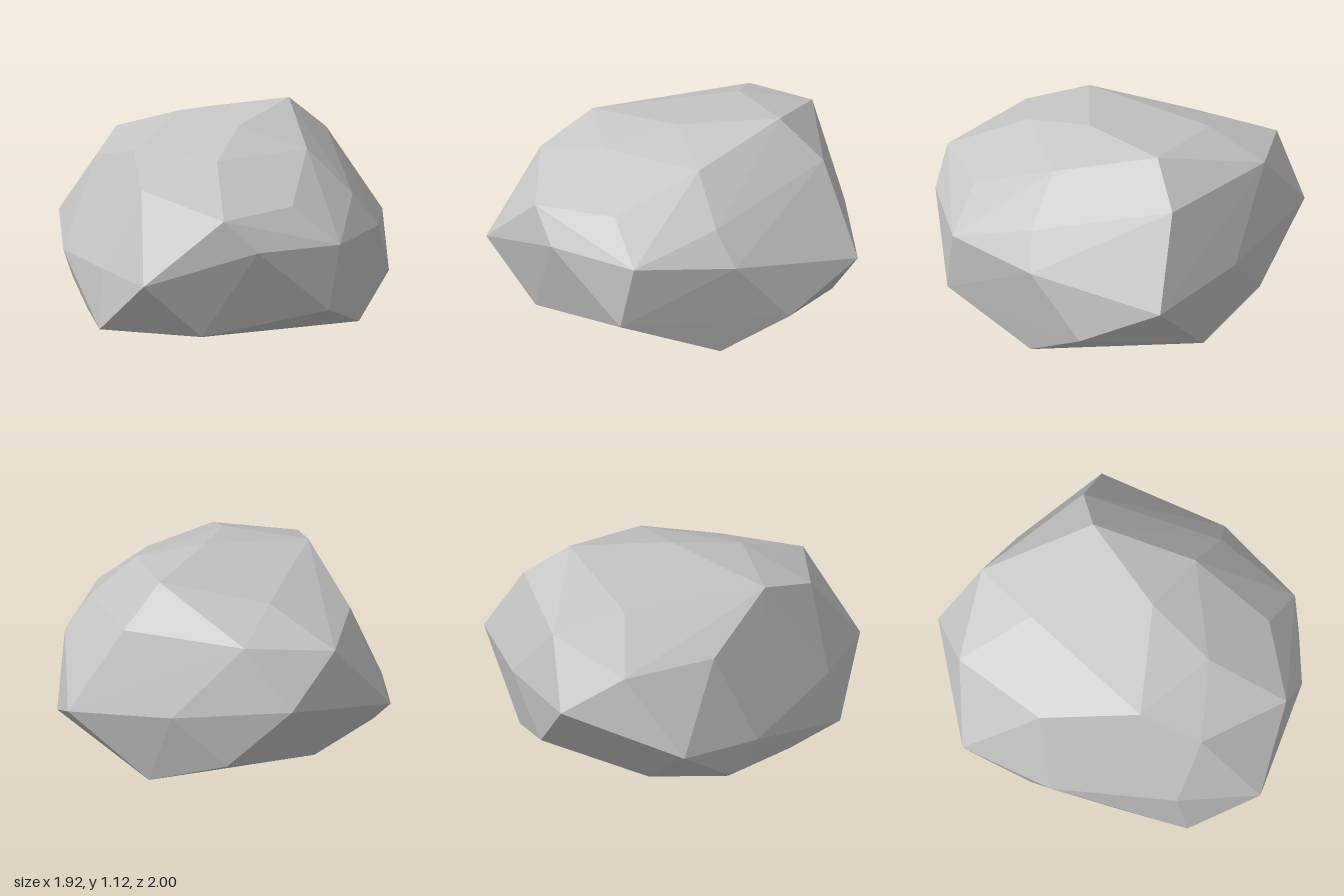
import * as THREE from 'three';
import { ConvexGeometry } from 'three/addons/geometries/ConvexGeometry.js';

// Corner points [x, y, z] of the boulder, ring by ring
const base = [
  [0.87, 0, -0.16], [0.37, 0, -0.23], [0.3, 0, -0.45], [-0.07, 0, 0.45], [-0.55, 0, 0.03],
];
const lower = [
  [0.9, 0.21, 0.41], [0.28, 0.09, 0.77], [-0.32, 0.08, 0.77], [-0.52, 0.09, 0.41],
  [-0.76, 0.14, -0.02], [-0.54, 0.08, -0.42], [-0.19, 0.21, -0.93], [0.27, 0.04, -0.9],
  [0.91, 0.2, -0.54],
];
const middle = [
  [0.02, 0.41, 1.0], [-0.33, 0.41, 0.7], [-0.76, 0.34, 0.14], [-0.96, 0.43, -0.35],
  [-0.57, 0.61, -0.94], [0.11, 0.5, -1.0], [0.72, 0.43, -0.96], [0.96, 0.54, -0.23],
  [0.94, 0.57, 0.34], [0.6, 0.59, 0.74],
];
const upper = [
  [0.42, 0.77, 0.8], [-0.11, 0.87, 0.67], [-0.64, 0.84, -0.07], [-0.72, 0.86, -0.62],
  [-0.28, 0.94, -0.89], [0.44, 0.91, -0.82], [0.84, 0.73, -0.14], [0.68, 0.78, 0.4],
];
const crown = [
  [0.3, 1.12, -0.6], [-0.3, 1.02, -0.48], [0.21, 1.09, -0.04], [0.59, 0.98, -0.09],
  [-0.27, 1.0, 0.35], [0.23, 0.99, 0.38],
];

export function createModel() {
  const group = new THREE.Group();
  group.name = 'rock';

  const stone = new THREE.MeshStandardMaterial({ color: 0xc6c6c6 });
  stone.name = 'light grey stone';
  stone.flatShading = true;

  // Faceted boulder stretched over the rings
  const points = [base, lower, middle, upper, crown].flat().map((p) => new THREE.Vector3(...p));
  const boulder = new THREE.Mesh(new ConvexGeometry(points), stone);
  boulder.name = 'boulder';
  group.add(boulder);

  return group;
}
